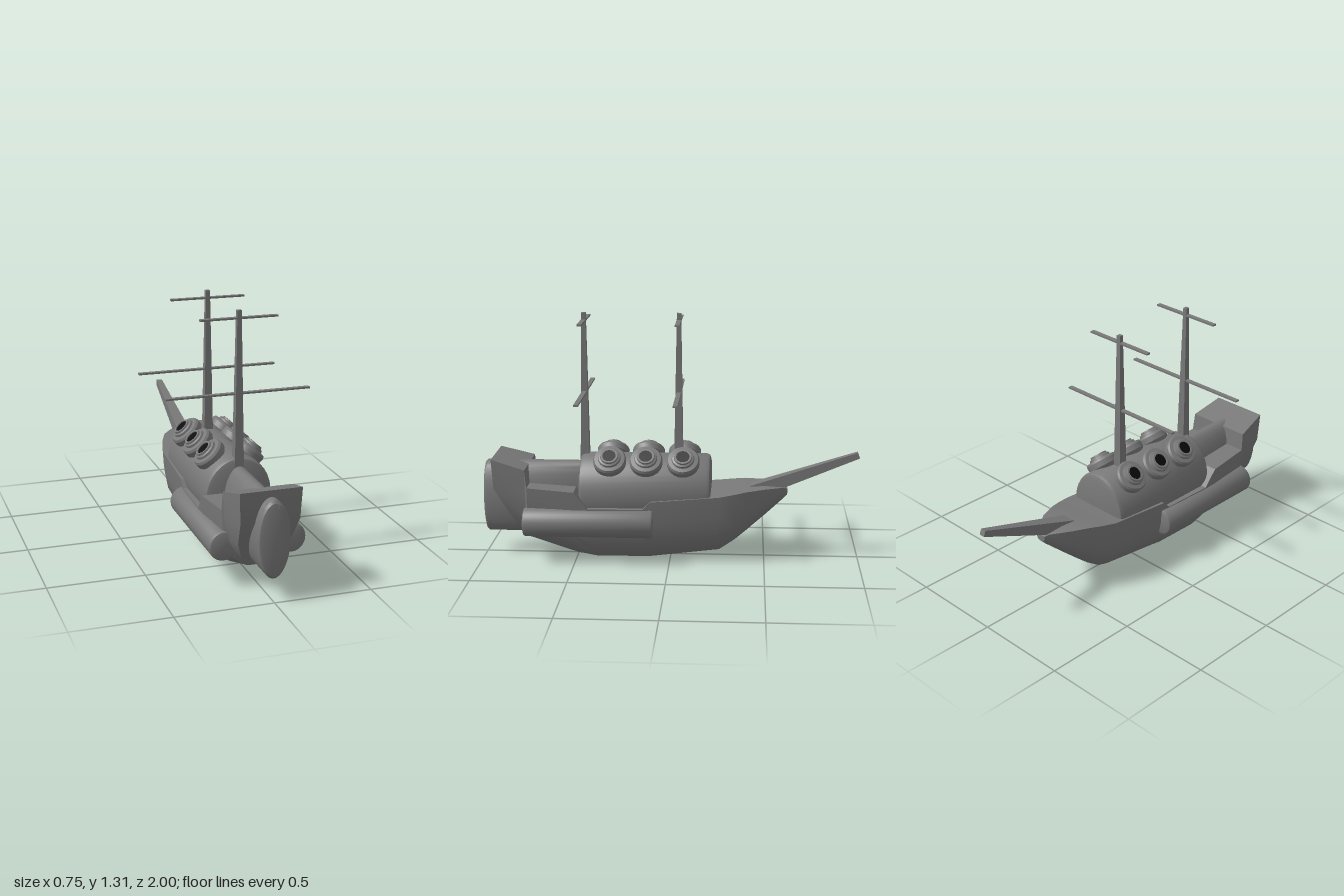
import * as THREE from 'three';
import { toCreasedNormals } from 'three/addons/utils/BufferGeometryUtils.js';

const grey = new THREE.MeshStandardMaterial({ color: 0x787878 });
const dark = new THREE.MeshStandardMaterial({ color: 0x080808 });

function mesh(name, geometry, material = grey) {
  const m = new THREE.Mesh(geometry, material);
  m.name = name;
  return m;
}

const lathe = (points, segments) =>
  toCreasedNormals(new THREE.LatheGeometry(points.map(([r, y]) => new THREE.Vector2(r, y)), segments), 0.5);

// Bevelled elliptical drum lying along z
function drum(name, rx, ry, z0, z1, bevel, segments = 32) {
  const k = 1 - bevel / rx;
  const mid = 1 - 0.3 * (1 - k);
  const g = lathe([[0, z0], [k, z0], [mid, z0 + bevel * 0.3], [1, z0 + bevel],
    [1, z1 - bevel], [mid, z1 - bevel * 0.3], [k, z1], [0, z1]], segments);
  g.rotateX(Math.PI / 2).scale(rx, ry, 1);
  return mesh(name, toCreasedNormals(g, 0.6));
}

// Square tapered spar standing on the origin
function spar(name, base, tip, length) {
  const g = new THREE.CylinderGeometry(tip * Math.SQRT2, base * Math.SQRT2, length, 4).toNonIndexed();
  g.rotateY(Math.PI / 4).translate(0, length / 2, 0).computeVertexNormals();
  return mesh(name, g);
}

// Hull lofted through stations: z, keel height, deck height, half width
function hull() {
  const stations = [
    [-0.62, 0.345, 0.382, 0.03], [-0.6, 0.325, 0.39, 0.04], [-0.5, 0.237, 0.397, 0.11],
    [-0.4, 0.15, 0.391, 0.15], [-0.34, 0.1, 0.382, 0.168], [-0.26, 0.047, 0.37, 0.185], [0.1, 0.003, 0.34, 0.192],
    [0.14, 0.001, 0.3, 0.193], [0.4, 0.001, 0.3, 0.2], [0.43, 0.007, 0.3, 0.2],
    [0.5, 0.02, 0.39, 0.204], [0.75, 0.1, 0.405, 0.185], [0.76, 0.105, 0.5, 0.18], [0.94, 0.105, 0.55, 0.157],
  ];
  const heights = [0, 0.13, 0.35, 0.64, 1];
  const widths = [0.28, 0.62, 0.86, 0.96, 1];
  const rake = [0.175, 0.145, 0.085, 0.01, 0]; // forward lean of the transom
  const pos = [], idx = [], n = 10;
  stations.forEach(([z, yb, yt, w], s) => {
    for (let i = 0; i < n; i++) {
      const j = i < 5 ? i : 9 - i;
      const lean = s === stations.length - 1 ? rake[j] : 0;
      pos.push((i < 5 ? 1 : -1) * w * widths[j], yb + (yt - yb) * heights[j], z - lean);
    }
  });
  for (let s = 0; s < stations.length - 1; s++) {
    for (let i = 0; i < n; i++) {
      const a = s * n + i, b = s * n + (i + 1) % n;
      idx.push(a, b, b + n, a, b + n, a + n);
    }
  }
  // Bow and transom caps
  const e = (stations.length - 1) * n;
  for (let j = 0; j < 4; j++) {
    idx.push(9 - j, 8 - j, j + 1, 9 - j, j + 1, j);
    idx.push(e + j, e + j + 1, e + 8 - j, e + j, e + 8 - j, e + 9 - j);
  }
  const g = new THREE.BufferGeometry();
  g.setAttribute('position', new THREE.Float32BufferAttribute(pos, 3));
  g.setIndex(idx);
  return mesh('hull', toCreasedNormals(g, 0.5));
}

// Round port: bowl, flat rim, short nozzle and dark bore
function port() {
  const g = new THREE.Group();
  g.name = 'gunPort';
  g.add(mesh('portRing', lathe([[0.06, -0.075], [0.086, -0.042], [0.087, -0.012], [0.08, 0], [0.06, 0.003],
    [0.057, 0.014], [0.047, 0.018], [0.045, 0.027], [0.035, 0.027], [0.034, 0.012]], 24)));
  const bore = mesh('portBore', new THREE.CircleGeometry(0.035, 24).rotateX(-Math.PI / 2), dark);
  bore.position.y = 0.022;
  g.add(bore);
  return g;
}

function mast(z) {
  const g = new THREE.Group();
  g.name = 'mast';
  const pole = spar('mastPole', 0.025, 0.011, 0.86);
  pole.position.y = 0.45;
  g.add(pole);
  for (const [y, half] of [[0.89, 0.375], [1.27, 0.2]]) {
    const yard = mesh('yard', new THREE.BoxGeometry(half * 2, 0.009, 0.024));
    yard.position.y = y;
    g.add(yard);
  }
  g.position.z = z;
  return g;
}

export function createModel() {
  const ship = new THREE.Group();
  ship.name = 'ship';
  ship.add(hull());

  // Rounded cabin and stern engine
  const cabin = drum('cabin', 0.177, 0.2, -0.215, 0.48, 0.025, 40);
  cabin.position.y = 0.36;
  const engine = drum('sternEngine', 0.083, 0.198, 0.45, 1, 0.018, 40);
  engine.position.y = 0.318;
  ship.add(cabin, engine);

  for (const side of [1, -1]) {
    const pod = drum('sidePod', 0.075, 0.077, 0.085, 0.77, 0.014);
    pod.position.set(side * 0.175, 0.22, 0);
    ship.add(pod);
    for (const z of [-0.07, 0.125, 0.317]) {
      const p = port();
      p.position.set(side * 0.122, 0.557, z);
      p.rotation.z = -side * 0.73;
      ship.add(p);
    }
  }

  ship.add(mast(-0.042), mast(0.457));

  // Bowsprit
  const bowsprit = spar('bowsprit', 0.038, 0.016, 0.595);
  bowsprit.position.set(0, 0.36, -0.435);
  bowsprit.rotation.x = -Math.atan2(0.56, 0.205);
  ship.add(bowsprit);
  return ship;
}
